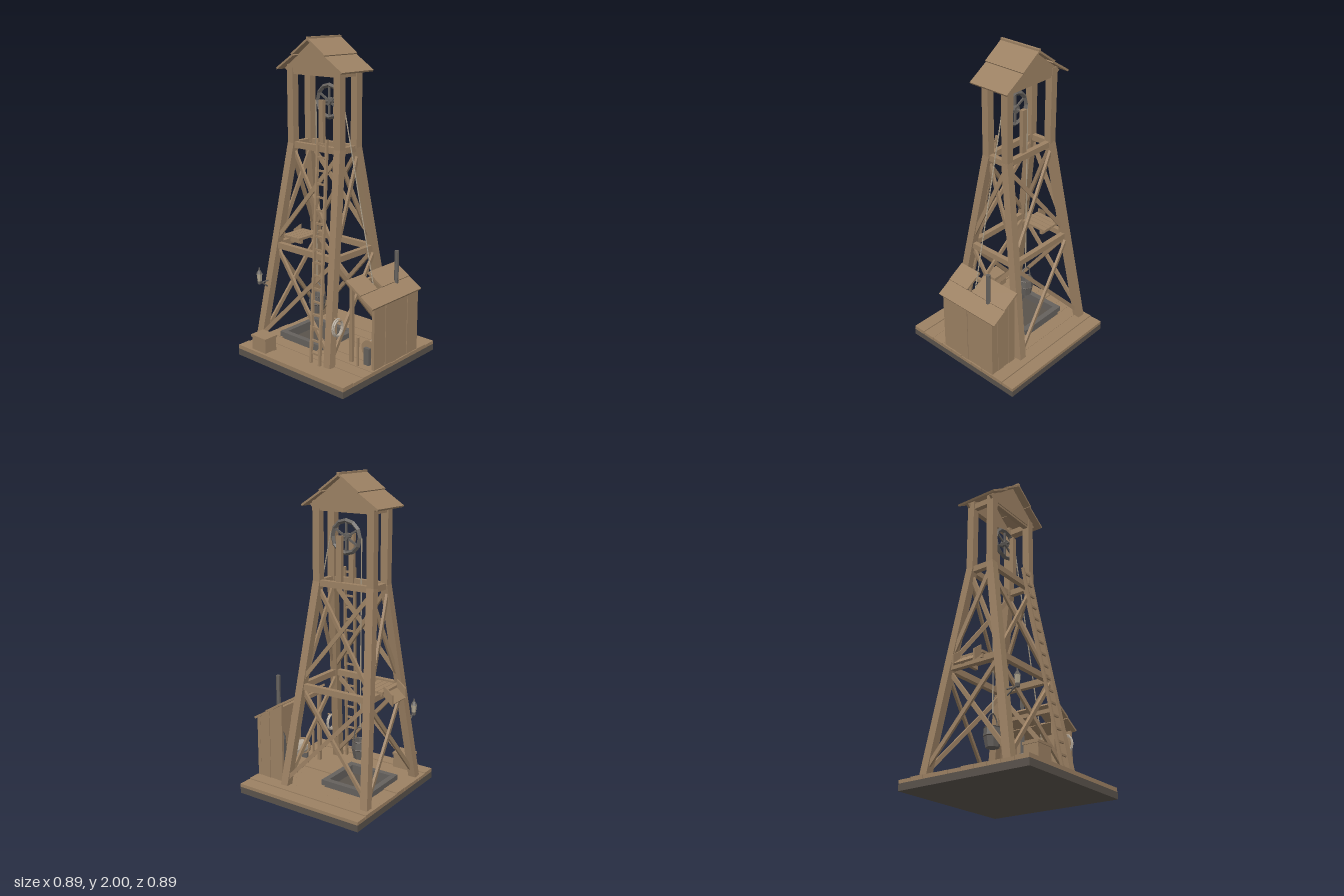
import * as THREE from 'three';

const mat = (name, color) => new THREE.MeshStandardMaterial({ name, color, flatShading: true });

export function createModel() {
  const root = new THREE.Group();
  root.name = 'mineHeadframe';
  const wood = mat('wood', 0x9c8163);
  const iron = mat('iron', 0x65615d);
  const dark = mat('darkStone', 0x5a534c);
  const rope = mat('rope', 0xa89a84);
  const pale = mat('paleRope', 0xb5aa9b);
  const glass = mat('lanternGlass', 0xb0a58f);
  const V = (x, y, z) => new THREE.Vector3(x, y, z);
  const CX = -0.1; // tower centre line

  function add(name, geo, m, x = 0, y = 0, z = 0, parent = root) {
    const mesh = new THREE.Mesh(geo, m);
    mesh.name = name;
    mesh.position.set(x, y, z);
    parent.add(mesh);
    return mesh;
  }
  // box given by its minimum and maximum corners
  function box(name, m, x0, x1, y0, y1, z0, z1, parent = root) {
    return add(name, new THREE.BoxGeometry(x1 - x0, y1 - y0, z1 - z0), m,
      (x0 + x1) / 2, (y0 + y1) / 2, (z0 + z1) / 2, parent);
  }
  // timber from a to b, w wide and h deep
  function beam(name, m, a, b, w, h = w, up = V(0, 1, 0)) {
    const mesh = add(name, new THREE.BoxGeometry(w, h, a.distanceTo(b)), m);
    mesh.position.copy(a).add(b).multiplyScalar(0.5);
    mesh.up.copy(up);
    mesh.lookAt(b);
    return mesh;
  }
  // round rod from a to b
  function rod(name, m, a, b, r, sides = 6) {
    const mesh = add(name, new THREE.CylinderGeometry(r, r, a.distanceTo(b), sides), m);
    mesh.position.copy(a).add(b).multiplyScalar(0.5);
    mesh.quaternion.setFromUnitVectors(V(0, 1, 0), b.clone().sub(a).normalize());
    return mesh;
  }

  // base slab and deck planks, cut out around the shaft
  box('baseSlab', dark, -0.443, 0.443, 0, 0.042, -0.443, 0.443);
  for (let i = 0; i < 10; i++) {
    const z0 = -0.443 + i * 0.0886, z1 = z0 + 0.086, top = 0.063 + ((i * 7) % 4) * 0.0015;
    if (z1 > -0.14 && z0 < 0.14) {
      box('deckPlank', wood, -0.443, -0.32, 0.042, top, z0, z1);
      box('deckPlank', wood, -0.015, 0.443, 0.042, top, z0, z1);
    } else box('deckPlank', wood, -0.443, 0.443, 0.042, top, z0, z1);
  }
  // shaft collar
  for (const s of [-1, 1]) {
    box('shaftCollar', iron, -0.345, 0.01, 0.042, 0.1, s * 0.148 - 0.018, s * 0.148 + 0.018);
    const x = -0.1675 + s * 0.16;
    box('shaftCollar', iron, x - 0.018, x + 0.018, 0.042, 0.099, -0.13, 0.13);
  }

  // tower legs, posts, girts and cross braces
  const Y0 = 0.06, Y1 = 1.34;
  const leg = (sx, y, sz) => {
    const t = Math.min(1, (y - Y0) / (Y1 - Y0));
    return V(CX + sx * (0.297 - 0.106 * t), y, sz * (0.287 - 0.211 * t));
  };
  for (const sx of [-1, 1]) for (const sz of [-1, 1]) {
    beam('leg', wood, leg(sx, Y0, sz), leg(sx, Y1 + 0.005, sz), 0.05, 0.05, V(0, 0, 1));
    beam('upperPost', wood, leg(sx, Y1, sz), leg(sx, 1.83, sz), 0.048, 0.048, V(0, 0, 1));
  }
  const corners = [[-1, 1], [1, 1], [1, -1], [-1, -1]];
  corners.forEach((c, i) => {
    const d = corners[(i + 1) % 4];
    for (const y of [0.7, 1.338, 1.79]) {
      beam('girt', wood, leg(c[0], y, c[1]), leg(d[0], y, d[1]), 0.032, 0.038);
    }
    for (const [lo, hi] of [[0.1, 0.68], [0.74, 1.31]]) {
      const out = V(c[0] + d[0], 0, c[1] + d[1]).multiplyScalar(0.005);
      beam('crossBrace', wood, leg(c[0], lo, c[1]).add(out), leg(d[0], hi, d[1]).add(out), 0.016, 0.025);
      beam('crossBrace', wood, leg(d[0], lo, d[1]).sub(out), leg(c[0], hi, c[1]).sub(out), 0.016, 0.025);
    }
  });

  // roof: two lapped boards each side, ridge cap and gables
  for (const s of [-1, 1]) {
    const at = (d, y) => V(CX + s * d, y, 0);
    beam('roofBoard', wood, at(0, 1.987), at(0.134, 1.893), 0.29, 0.012);
    beam('roofBoard', wood, at(0.122, 1.892), at(0.263, 1.802), 0.284, 0.012);
    const tri = new THREE.Shape([[-0.235, 1.805], [-0.21, 1.785], [0.21, 1.785], [0.235, 1.805], [0, 1.98]]
      .map(p => new THREE.Vector2(p[0], p[1])));
    add('gable', new THREE.ExtrudeGeometry(tri, { depth: 0.015, bevelEnabled: false }), wood,
      CX, 0, s * 0.09 - 0.0075);
  }
  box('ridgeCap', wood, CX - 0.009, CX + 0.009, 1.982, 2, -0.146, 0.146);

  // winding wheel with spokes, axle and bearing posts
  const WX = -0.058, WY = 1.616;
  add('wheelRim', new THREE.TorusGeometry(0.097, 0.0145, 4, 12), iron, WX, WY, 0);
  for (let i = 0; i < 3; i++) {
    add('wheelSpoke', new THREE.BoxGeometry(0.012, 0.19, 0.01), iron, WX, WY, 0).rotation.z = i * Math.PI / 3;
  }
  rod('wheelHub', iron, V(WX, WY, -0.018), V(WX, WY, 0.018), 0.024, 8);
  rod('wheelAxle', iron, V(WX, WY, -0.06), V(WX, WY, 0.06), 0.008);
  for (const s of [-1, 1]) {
    box('bearingPost', wood, WX - 0.017, WX + 0.017, 1.33, 1.63, s * 0.065 - 0.013, s * 0.065 + 0.013);
  }
  // ropes
  rod('hoistRope', rope, V(-0.168, 1.616, 0), V(-0.168, 0.44, 0), 0.004, 5);
  rod('winchRope', rope, V(0.05, 1.64, 0), V(0.37, 0.21, 0), 0.004, 5);

  // bucket with bands and bail
  const kibble = [[0, 0.235], [0.04, 0.235], [0.054, 0.3], [0.05, 0.352], [0.042, 0.352], [0.036, 0.255], [0, 0.255]]
    .map(p => new THREE.Vector2(p[0], p[1]));
  add('bucket', new THREE.LatheGeometry(kibble, 8), iron, -0.168, 0, 0);
  for (const [y, r] of [[0.3, 0.052], [0.35, 0.048]]) {
    add('bucketBand', new THREE.TorusGeometry(r, 0.005, 4, 8), dark, -0.168, y, 0).rotation.x = Math.PI / 2;
  }
  const bail = new THREE.CatmullRomCurve3([V(-0.046, 0.345, 0), V(-0.036, 0.41, 0), V(0, 0.44, 0), V(0.036, 0.41, 0), V(0.046, 0.345, 0)]);
  add('bucketBail', new THREE.TubeGeometry(bail, 10, 0.004, 5), iron, -0.168, 0, 0);

  // ladder
  const foot = V(0.11, 0.065, 0.318), head = V(0.0, 1.41, 0.125);
  for (const s of [-0.036, 0.036]) {
    const o = V(s, 0, 0);
    beam('ladderRail', wood, foot.clone().add(o), head.clone().add(o), 0.014, 0.018, V(0, 0, 1));
  }
  for (let i = 0; i < 17; i++) {
    const p = foot.clone().lerp(head, (i + 0.8) / 17.2);
    box('ladderRung', wood, p.x - 0.036, p.x + 0.036, p.y - 0.006, p.y + 0.006, p.z - 0.005, p.z + 0.005);
  }

  // tipping platform and chute
  for (let i = 0; i < 4; i++) {
    const x = -0.385 + i * 0.0375;
    box('platformPlank', wood, x, x + 0.035, 0.722, 0.737, -0.097, 0.092);
  }
  for (const s of [-1, 1]) {
    box('platformJoist', wood, -0.37, -0.235, 0.7, 0.722, s * 0.07 - 0.01, s * 0.07 + 0.01);
    const side = new THREE.Shape([[-0.445, 0.655], [-0.383, 0.71], [-0.383, 0.772], [-0.445, 0.725]]
      .map(p => new THREE.Vector2(p[0], p[1])));
    add('chuteSide', new THREE.ExtrudeGeometry(side, { depth: 0.012, bevelEnabled: false }), wood, 0, 0, s * 0.076 - 0.006);
  }
  beam('chuteFloor', wood, V(-0.443, 0.665, 0), V(-0.375, 0.722, 0), 0.15, 0.012);

  // winch shed: planked back and outer walls, open towards the tower and front
  const roofY = x => 0.578 - (x - 0.238) * 0.6;
  for (let i = 0; i < 4; i++) {
    const z0 = -0.27 + i * 0.1065, off = (i % 2) * 0.003;
    box('shedSidePlank', wood, 0.415, 0.437 - off, 0.06, 0.46, z0, z0 + 0.1045);
    const x0 = 0.238 + i * 0.0495, x1 = x0 + 0.0485;
    const plank = new THREE.Shape([[x0, 0.06], [x1, 0.06], [x1, roofY(x1)], [x0, roofY(x0)]]
      .map(p => new THREE.Vector2(p[0], p[1])));
    add('shedBackPlank', new THREE.ExtrudeGeometry(plank, { depth: 0.018, bevelEnabled: false }), wood, 0, 0, -0.272 + off);
  }
  box('shedPost', wood, 0.238, 0.26, 0.06, 0.565, 0.13, 0.152);
  beam('shedHeader', wood, V(0.249, 0.55, 0.152), V(0.249, 0.55, -0.27), 0.022, 0.026);
  // roof boards leave a slot for the rope
  const roofPiece = (x0, x1, z0, z1, lift) => beam('shedRoof', wood,
    V(x0, roofY(x0) + lift, (z0 + z1) / 2), V(x1, roofY(x1) + lift, (z0 + z1) / 2), z1 - z0, 0.014);
  for (const [z0, z1] of [[-0.292, -0.023], [0.023, 0.182]]) roofPiece(0.234, 0.347, z0, z1, 0.01);
  roofPiece(0.345, 0.44, -0.294, 0.182, 0.004);

  // boiler and chimney
  const boiler = [[0, 0.06], [0.045, 0.06], [0.045, 0.3], [0.026, 0.35], [0, 0.352]]
    .map(p => new THREE.Vector2(p[0], p[1]));
  add('boiler', new THREE.LatheGeometry(boiler, 10), iron, 0.35, 0, -0.16);
  rod('chimney', iron, V(0.35, 0.34, -0.16), V(0.35, 0.725, -0.16), 0.014);

  // winch drum on iron stands
  rod('winchDrum', pale, V(0.35, 0.16, -0.09), V(0.35, 0.16, 0.09), 0.046, 10);
  for (const s of [-1, 1]) {
    rod('drumFlange', wood, V(0.35, 0.16, s * 0.09), V(0.35, 0.16, s * 0.102), 0.058, 12);
    box('drumStand', iron, 0.33, 0.37, 0.06, 0.175, s * 0.115 - 0.011, s * 0.115 + 0.011);
  }
  beam('brakeLever', wood, V(0.318, 0.06, 0.165), V(0.318, 0.25, 0.165), 0.012, 0.012, V(0, 0, 1));

  // rope coil on a peg
  for (const [x, r] of [[0.219, 0.043], [0.23, 0.04]]) {
    const coil = add('ropeCoil', new THREE.TorusGeometry(r, 0.006, 5, 12), pale, x, 0.31, 0.242);
    coil.rotation.y = Math.PI / 2;
    coil.scale.y = 1.25;
  }
  rod('coilPeg', wood, V(0.18, 0.362, 0.24), V(0.248, 0.362, 0.24), 0.006);

  // lantern on a bracket
  const LX = -0.368, LZ = 0.318;
  rod('lanternArm', iron, V(LX, 0.42, 0.235), V(LX, 0.468, 0.3), 0.005);
  rod('lanternArm', iron, V(LX, 0.468, 0.23), V(LX, 0.468, LZ), 0.005);
  const cone = (name, m, r0, r1, y0, y1) =>
    add(name, new THREE.CylinderGeometry(r1, r0, y1 - y0, 6), m, LX, (y0 + y1) / 2, LZ);
  cone('lanternBase', iron, 0.013, 0.016, 0.465, 0.485);
  cone('lanternGlass', glass, 0.014, 0.019, 0.485, 0.532);
  cone('lanternCap', iron, 0.021, 0.008, 0.532, 0.555);
  cone('lanternKnob', iron, 0.006, 0.004, 0.555, 0.572);

  // crate with lid
  box('crate', wood, -0.335, -0.216, 0.06, 0.15, 0.33, 0.423);
  box('crateLid', wood, -0.34, -0.211, 0.15, 0.165, 0.325, 0.428);

  return root;
}
